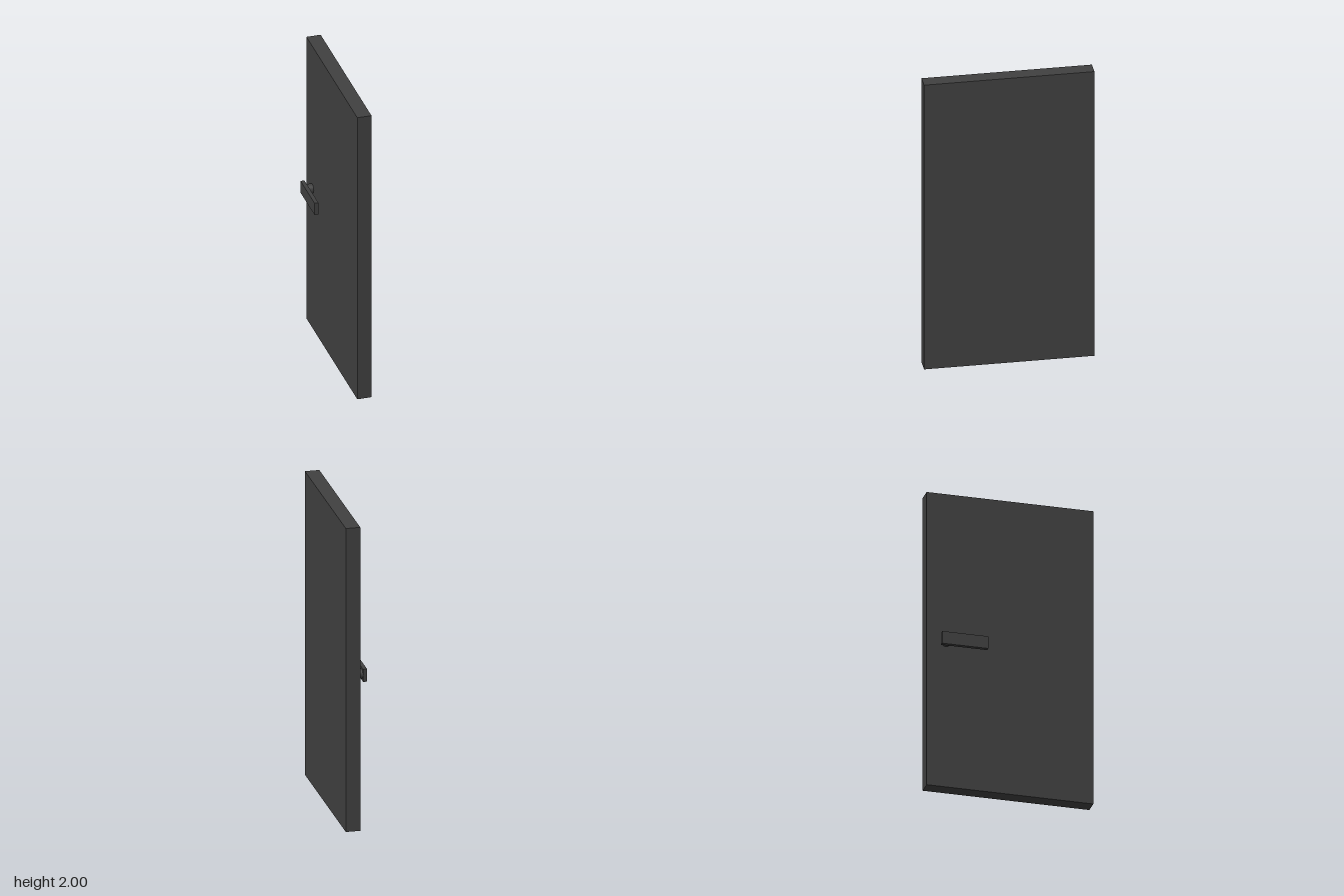
import * as THREE from 'three';

export function createModel() {
  const model = new THREE.Group();
  model.name = 'door';
  const material = new THREE.MeshStandardMaterial({ color: 0x404040 });

  function add(name, geometry, x, y, z) {
    const mesh = new THREE.Mesh(geometry, material);
    mesh.name = name;
    mesh.position.set(x, y, z);
    model.add(mesh);
  }

  // Plain slab
  add('doorPanel', new THREE.BoxGeometry(0.092, 2, 1.07), 0.032, 1, 0);

  // Lever handle on the left-hand edge of the -x face
  const handleY = 0.99;
  const spindle = new THREE.CylinderGeometry(0.031, 0.031, 0.044, 32).rotateZ(Math.PI / 2);
  add('handleSpindle', spindle, -0.034, handleY, -0.412);
  add('handleLever', new THREE.BoxGeometry(0.025, 0.083, 0.296), -0.0655, handleY, -0.304);

  return model;
}
